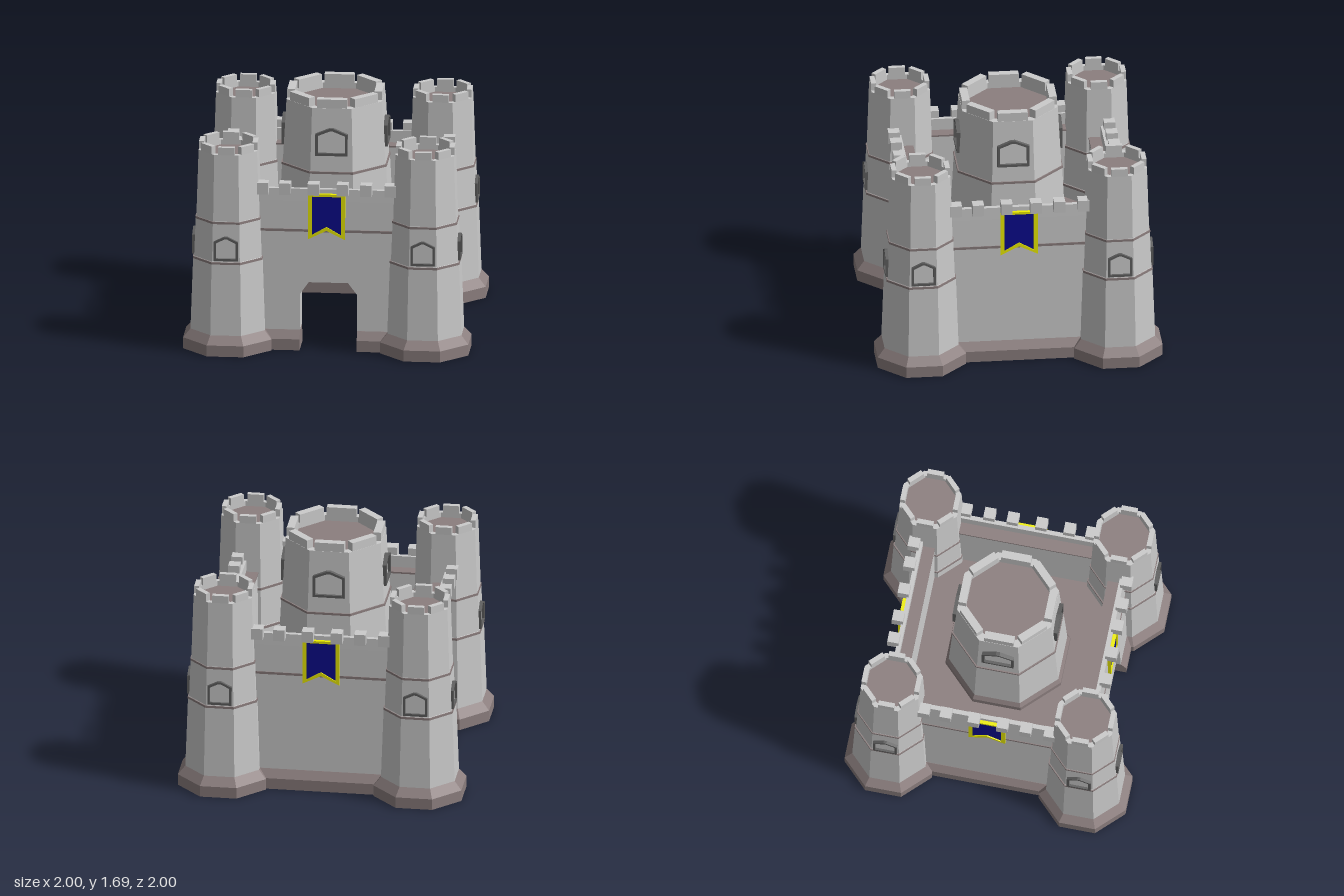
import * as THREE from 'three';

const mat = (color) => new THREE.MeshStandardMaterial({ color, flatShading: true });
const stone = mat(0xcccccc);
const dark = mat(0x8c7f7f);
const trim = mat(0x606060);
const yellow = mat(0xf0f000);
const blue = mat(0x0a0a90);

const GATE = [[-0.185, 0.4], [-0.125, 0.485], [0.15, 0.485], [0.215, 0.4]];
const lerp = THREE.MathUtils.lerp;

function add(parent, name, geometry, material, x = 0, y = 0, z = 0) {
  const mesh = new THREE.Mesh(geometry, material);
  mesh.name = name;
  mesh.position.set(x, y, z);
  parent.add(mesh);
  return mesh;
}

const shapeOf = (pts) => new THREE.Shape(pts.map(([x, y]) => new THREE.Vector2(x, y)));

function extrude(pts, depth, holePts) {
  const shape = shapeOf(pts);
  if (holePts) shape.holes.push(shapeOf(holePts));
  return new THREE.ExtrudeGeometry(shape, { depth, bevelEnabled: false });
}

// Eight-sided solid; profile points are [apothem, y], a flat side faces the front
function octagon(profile) {
  const pts = profile.map(([a, y]) => new THREE.Vector2(a / Math.cos(Math.PI / 8), y));
  return new THREE.LatheGeometry(pts, 8, Math.PI / 8);
}

// Slab of wall whose inner and outer faces lean: inner/outer = [z at bottom, z at top]
function leaningSlab(pts, y0, y1, inner, outer) {
  const g = extrude(pts, 1);
  const p = g.attributes.position;
  for (let i = 0; i < p.count; i++) {
    const t = (p.getY(i) - y0) / (y1 - y0);
    p.setZ(i, lerp(lerp(inner[0], inner[1], t), lerp(outer[0], outer[1], t), p.getZ(i)));
  }
  g.computeVertexNormals();
  return g;
}

const rect = (x0, x1, y0, y1) => [[x0, y0], [x1, y0], [x1, y1], [x0, y1]];

// Window frame: a ring with a shallow gable, standing on y = 0
function windowFrame(w, h, t, depth) {
  const house = (w, b, s, p) => [[-w, b], [w, b], [w, s], [w * 0.12, p], [-w * 0.12, p], [-w, s]];
  return extrude(house(w, 0, h * 0.79, h), depth, house(w - t, t, h * 0.79 - t * 0.6, h - t));
}

// Crown of eight merlons, one on each flat side
function crown(parent, apothem, y, width, height, thick) {
  for (let i = 0; i < 8; i++) {
    const a = (i * Math.PI) / 4;
    const r = apothem - thick / 2;
    const m = add(parent, 'towerMerlon', new THREE.BoxGeometry(width, height, thick), stone,
      Math.sin(a) * r, y + height / 2, Math.cos(a) * r);
    m.rotation.y = a;
  }
}

function cornerTower() {
  const tower = new THREE.Group();
  tower.name = 'cornerTower';
  add(tower, 'towerBase', octagon([[0, 0], [0.31, 0], [0.31, 0.08], [0.26, 0.14]]), dark);
  add(tower, 'towerBody', octagon([[0.26, 0.14], [0.242, 0.66], [0.235, 0.67], [0.224, 0.95],
    [0.22, 0.96], [0.205, 1.44], [0.17, 1.44], [0.17, 1.4]]), stone);
  for (const [y, a] of [[0.66, 0.244], [0.95, 0.227]])
    add(tower, 'towerBand', octagon([[a - 0.02, y - 0.008], [a, y - 0.008], [a, y + 0.008], [a - 0.02, y + 0.008]]), dark);
  add(tower, 'towerFloor', octagon([[0.18, 1.405], [0, 1.405]]), dark);
  crown(tower, 0.205, 1.44, 0.115, 0.055, 0.035);
  // Windows on the two outward sides
  for (const angle of [0, Math.PI / 2]) {
    const holder = new THREE.Group();
    holder.name = 'towerWindow';
    holder.rotation.y = angle;
    add(holder, 'windowFrame', windowFrame(0.085, 0.175, 0.016, 0.03), trim, 0, 0.68, 0.22);
    tower.add(holder);
  }
  return tower;
}

function curtainWall(hasGate) {
  const wall = new THREE.Group();
  wall.name = hasGate ? 'frontWall' : 'wall';
  const L = 0.55;
  // Footing, split by the gate passage
  const spans = hasGate ? [[-L, GATE[0][0]], [GATE[3][0], L]] : [[-L, L]];
  for (const [a, b] of spans) {
    add(wall, 'wallFooting', leaningSlab(rect(a, b, 0, 0.08), 0, 0.08, [0.58, 0.58], [0.8, 0.8]), dark);
    add(wall, 'wallFootingSlope', leaningSlab(rect(a, b, 0.08, 0.14), 0.08, 0.14, [0.58, 0.605], [0.8, 0.762]), dark);
  }
  // Main body
  const bottom = hasGate ? [[GATE[0][0], 0.14], ...GATE, [GATE[3][0], 0.14]] : [];
  const body = [[-L, 0.14], ...bottom, [L, 0.14], [L, 1.07], [-L, 1.07]];
  add(wall, 'wallBody', leaningSlab(body, 0.14, 1.07, [0.605, 0.62], [0.76, 0.735]), stone);
  add(wall, 'walkway', new THREE.BoxGeometry(2 * L, 0.012, 0.1), dark, 0, 1.07, 0.665);
  add(wall, 'parapet', leaningSlab(rect(-L, L, 1.07, 1.16), 1.07, 1.16, [0.7, 0.7], [0.735, 0.732]), stone);
  add(wall, 'wallBand', new THREE.BoxGeometry(2 * L, 0.018, 0.03), dark, 0, 0.86, 0.731);
  // Overhanging merlons
  for (const x of [-0.445, -0.29, -0.09, 0.115, 0.28, 0.45])
    add(wall, 'wallMerlon', new THREE.BoxGeometry(0.08, 0.083, 0.08), stone, x, 1.173, 0.757);
  // Swallow-tailed banner with a raised border
  const outer = [[-0.13, 0.8], [0, 0.865], [0.13, 0.8], [0.13, 1.13], [-0.13, 1.13]];
  const inner = [[-0.102, 0.832], [0, 0.892], [0.102, 0.832], [0.102, 1.112], [-0.102, 1.112]];
  add(wall, 'bannerBorder', extrude(outer, 0.03, inner), yellow, 0, 0, 0.728);
  add(wall, 'bannerCloth', extrude(inner, 0.02), blue, 0, 0, 0.73);
  return wall;
}

function keep() {
  const g = new THREE.Group();
  g.name = 'keep';
  add(g, 'keepFooting', octagon([[0.41, 0.56], [0.41, 0.62], [0.39, 0.66]]), dark);
  add(g, 'keepBody', octagon([[0.39, 0.66], [0.365, 1.16], [0.36, 1.17], [0.335, 1.63], [0.28, 1.63], [0.28, 1.57]]), stone);
  add(g, 'keepBand', octagon([[0.34, 1.16], [0.369, 1.16], [0.369, 1.176], [0.34, 1.176]]), dark);
  add(g, 'keepFloor', octagon([[0.3, 1.59], [0, 1.59]]), dark);
  crown(g, 0.333, 1.63, 0.21, 0.063, 0.055);
  for (let i = 0; i < 4; i++) {
    const holder = new THREE.Group();
    holder.name = 'keepWindow';
    holder.rotation.y = (i * Math.PI) / 2;
    add(holder, 'windowFrame', windowFrame(0.113, 0.197, 0.018, 0.045), trim, 0, 1.293, 0.327);
    g.add(holder);
  }
  return g;
}

export function createModel() {
  const castle = new THREE.Group();
  castle.name = 'castle';
  // One wall and one corner tower per quarter turn
  for (let i = 0; i < 4; i++) {
    const quarter = new THREE.Group();
    quarter.name = 'castleSide';
    quarter.rotation.y = (i * Math.PI) / 2;
    const tower = cornerTower();
    tower.position.set(0.69, 0, 0.69);
    quarter.add(curtainWall(i === 0), tower);
    castle.add(quarter);
  }
  add(castle, 'courtyardFloor', new THREE.BoxGeometry(1.28, 0.06, 1.28), dark, 0, 0.54, 0);
  castle.add(keep());
  return castle;
}
